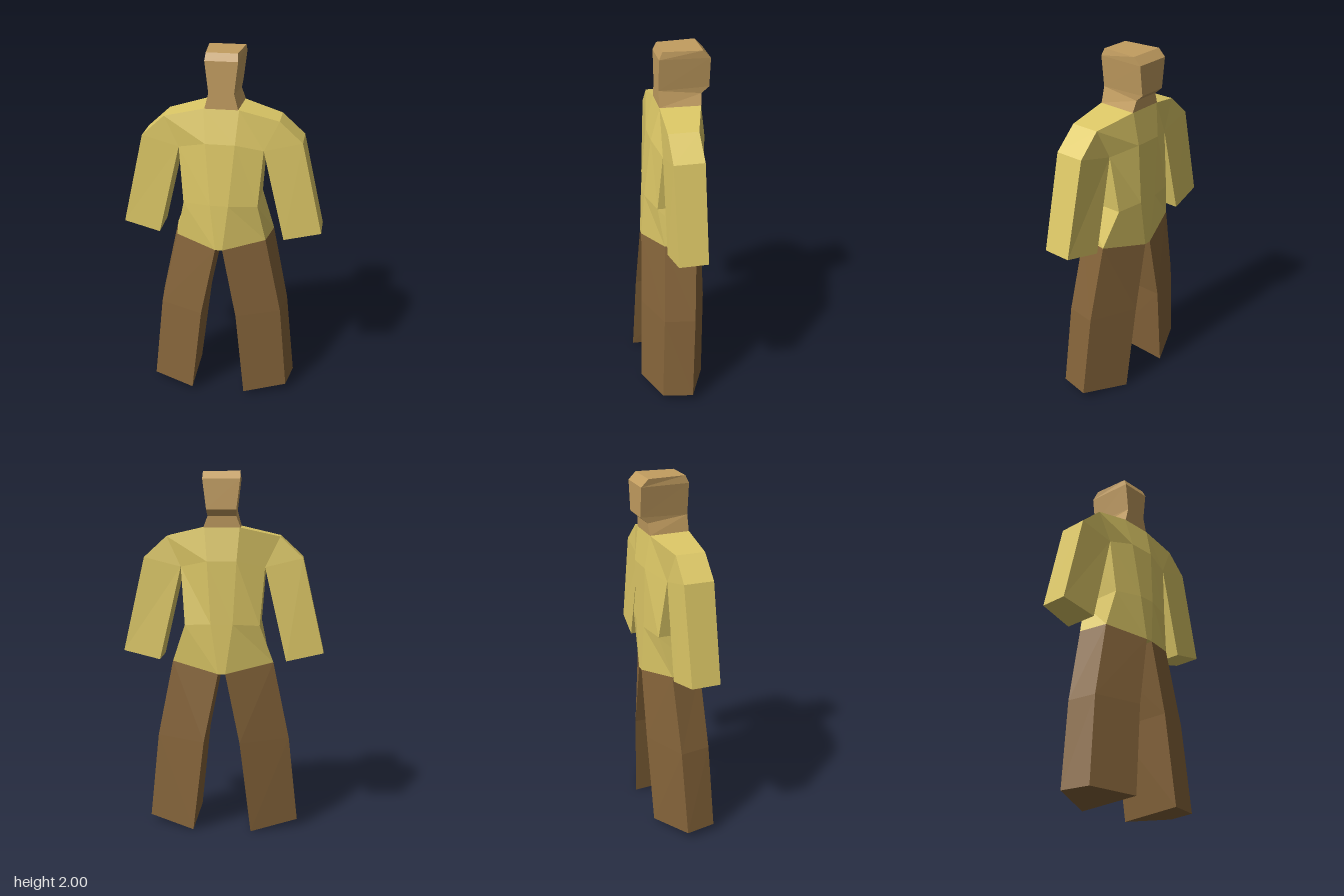
import * as THREE from 'three';

const skin = new THREE.MeshStandardMaterial({ color: 0xc29d60, flatShading: true });
const cloth = new THREE.MeshStandardMaterial({ color: 0xdcc766, flatShading: true });
const denim = new THREE.MeshStandardMaterial({ color: 0x85643a, flatShading: true });

const mirror = (ring) => ring.map(([x, y, z]) => [-x, y, z]);

// Skins a closed, faceted solid over rings with equal point counts.
function loft(name, rings, material) {
  const tris = [];
  const quad = (a, b, c, d) => tris.push([a, b, c], [a, c, d]);
  const n = rings[0].length;
  for (let r = 0; r < rings.length - 1; r++) {
    for (let i = 0; i < n; i++) {
      const j = (i + 1) % n;
      quad(rings[r][i], rings[r][j], rings[r + 1][j], rings[r + 1][i]);
    }
  }
  const first = rings[0], last = rings[rings.length - 1];
  for (let i = 1; i < n - 1; i++) {
    tris.push([first[0], first[i + 1], first[i]], [last[0], last[i], last[i + 1]]);
  }
  // Drop collapsed triangles and turn the solid the right way out
  const vecs = tris.map((t) => t.map((p) => new THREE.Vector3(...p)))
    .filter((t) => new THREE.Triangle(...t).getArea() > 1e-7);
  const volume = vecs.reduce((v, [a, b, c]) => v + a.dot(b.clone().cross(c)), 0);
  if (volume < 0) vecs.forEach((t) => t.reverse());
  const geometry = new THREE.BufferGeometry().setFromPoints(vecs.flat());
  geometry.computeVertexNormals();
  const mesh = new THREE.Mesh(geometry, material);
  mesh.name = name;
  return mesh;
}

// Symmetric ring from its +x half, listed front to back
const symmetric = (half) => [...half, ...mirror(half).reverse()];

export function createModel() {
  const model = new THREE.Group();
  model.name = 'figure';

  // Neck and head
  model.add(loft('head', [
    [[0.09, 1.705, 0.065], [0.1, 1.705, -0.155]],
    [[0.068, 1.79, 0.065], [0.077, 1.765, -0.16]],
    [[0.068, 1.79, 0.065], [0.08, 1.8, -0.2]],
    [[0.088, 1.96, 0.065], [0.1, 1.96, -0.2]],
    [[0.083, 2, 0.047], [0.1, 2, -0.16]],
  ].map(symmetric), skin));

  // Shirt body: chest, waist and hip
  model.add(loft('torso', [
    [[0.08, 1.525, 0.11], [0.23, 1.49, 0.075], [0.23, 1.49, -0.11], [0.08, 1.525, -0.18]],
    [[0.05, 1.185, 0.145], [0.205, 1.175, 0.1], [0.205, 1.175, -0.15], [0.06, 1.185, -0.183]],
    [[0.02, 0.925, 0.16], [0.25, 0.965, 0.07], [0.28, 0.965, -0.1], [0.02, 0.91, -0.185]],
  ].map(symmetric), cloth));

  // Shoulders and sleeves: one solid from cuff to cuff
  const armpit = [[0.23, 1.49, -0.11], [0.23, 1.49, 0.075]];
  const sleeve = [
    [[0.555, 1.02, 0.057], [0.555, 1.02, -0.1], [0.35, 0.975, -0.12], [0.35, 0.975, 0.075]],
    [[0.435, 1.54, 0.062], [0.435, 1.54, -0.1], ...armpit],
    [[0.31, 1.655, 0.065], [0.31, 1.655, -0.095], ...armpit],
    [[0.095, 1.705, 0.065], [0.095, 1.705, -0.155], [0.08, 1.525, -0.18], [0.08, 1.525, 0.11]],
  ];
  model.add(loft('shouldersAndSleeves', [...sleeve, ...sleeve.map(mirror).reverse()], cloth));

  // Trouser legs: hip, knee and hem
  const leg = [
    [[0.02, 0.925, 0.16], [0.25, 0.965, 0.07], [0.28, 0.965, -0.1], [0.02, 0.91, -0.185]],
    [[0.1, 0.52, 0.178], [0.345, 0.53, 0.09], [0.37, 0.53, -0.08], [0.1, 0.52, -0.187]],
    [[0.153, 0.02, 0.197], [0.393, 0.04, 0.11], [0.423, 0.04, -0.06], [0.163, 0, -0.17]],
  ];
  model.add(loft('leftLeg', leg, denim), loft('rightLeg', leg.map(mirror), denim));

  return model;
}
